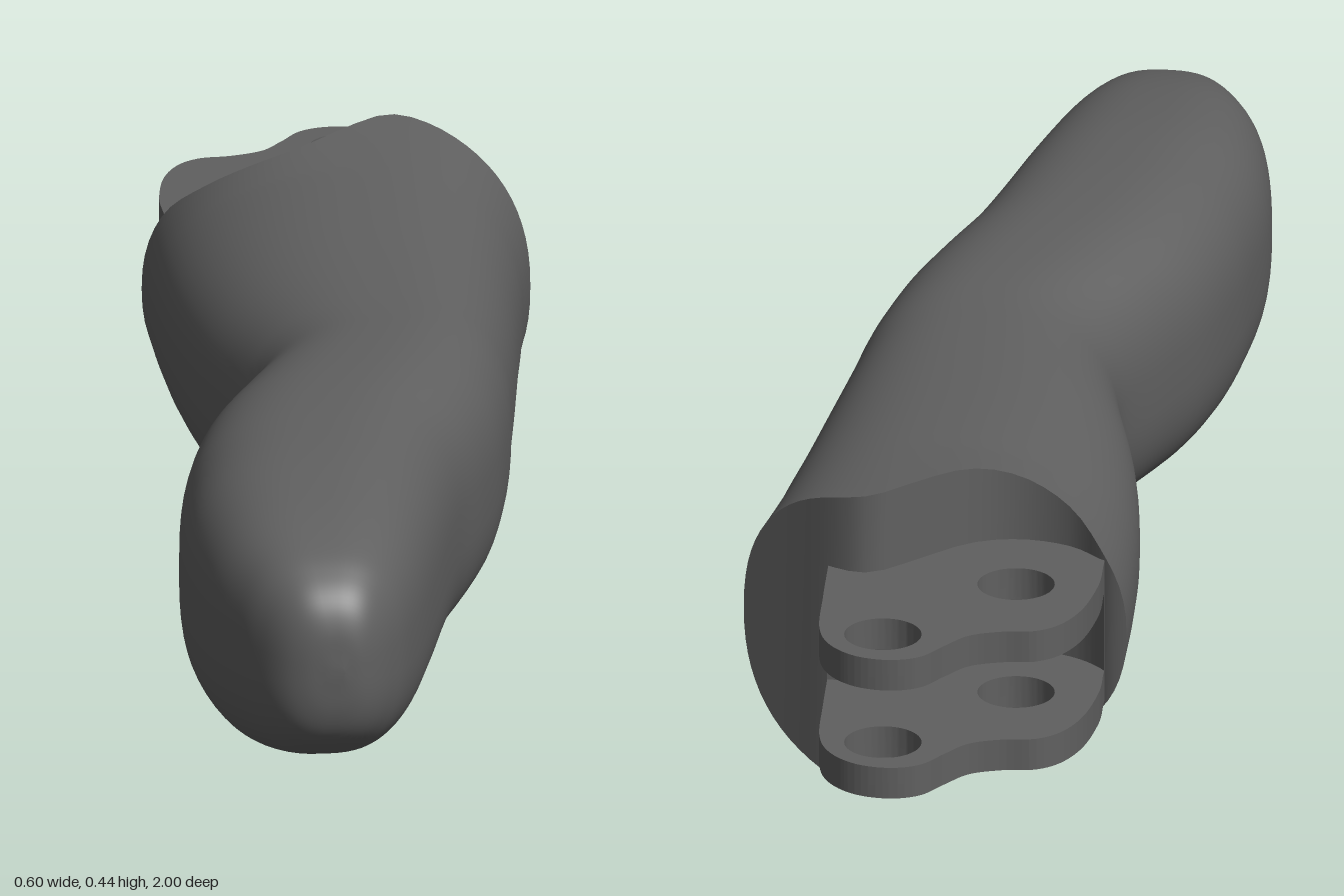
import * as THREE from 'three';
import { toCreasedNormals } from 'three/addons/utils/BufferGeometryUtils.js';

const MID_Y = 0.225, N = 72, CUT_START = -0.5, CUT_END = -0.71;
const PINS = [[-0.087, -0.73], [0.078, -0.915]];

// Body sections from tip to knuckle: z, left edge, right edge, half height
const sections = [
  [1.0, -0.13, -0.11, 0.01], [0.995, -0.165, -0.085, 0.06], [0.98, -0.195, -0.062, 0.097],
  [0.95, -0.222, -0.038, 0.125], [0.9, -0.25, -0.012, 0.15], [0.8, -0.284, 0.02, 0.174],
  [0.65, -0.3, 0.055, 0.191], [0.5, -0.29, 0.088, 0.197], [0.4, -0.275, 0.114, 0.198],
  [0.3, -0.25, 0.15, 0.197], [0.2, -0.21, 0.181, 0.195], [0.1, -0.168, 0.201, 0.193],
  [0.03, -0.156, 0.212, 0.192], [-0.05, -0.167, 0.221, 0.193], [-0.2, -0.2, 0.241, 0.197],
  [-0.35, -0.22, 0.26, 0.203], [CUT_START, -0.229, 0.28, 0.21], [CUT_END, -0.231, 0.3, 0.222],
];

// Wavy line of the knuckle cut, seen from above (x, z)
const cutLine = new THREE.SplineCurve([
  [-0.24, -0.65], [-0.2, -0.64], [-0.15, -0.597], [-0.08, -0.58], [-0.01, -0.6],
  [0.06, -0.665], [0.1, -0.702], [0.13, -0.712], [0.17, -0.697], [0.23, -0.655], [0.305, -0.604],
].map(p => new THREE.Vector2(...p))).getPoints(100);

function cutZ(x) {
  const i = Math.max(1, cutLine.findIndex(p => p.x >= x));
  const a = cutLine[i - 1], b = cutLine[i];
  return THREE.MathUtils.lerp(a.y, b.y, (x - a.x) / (b.x - a.x));
}

function makeRings() {
  const spline = pick => new THREE.CatmullRomCurve3(
    sections.map(s => new THREE.Vector3(...pick(s))), false, 'catmullrom', 0.5);
  const edges = spline(s => [s[1], s[2], s[0]]);
  const heights = spline(s => [s[3], 0, s[0]]);
  const steps = (sections.length - 1) * 5;
  const rings = [];
  for (let i = 0; i <= steps; i++) {
    const e = edges.getPoint(i / steps), h = heights.getPoint(i / steps).x;
    // sections grow rounder and lean to +x towards the knuckle
    const rear = 1 - THREE.MathUtils.smoothstep(e.z, CUT_END, 0.4);
    const power = v => Math.sign(v) * Math.abs(v) ** (2 / (2.7 - 0.4 * rear));
    const f = Math.max(0, (e.z - CUT_START) / (CUT_END - CUT_START));
    const ring = [];
    for (let j = 0; j < N; j++) {
      const a = (j / N) * Math.PI * 2;
      const u = power(Math.cos(a));
      const x = (e.x + e.y) / 2 + ((e.y - e.x) / 2) * u + 0.032 * rear * (1 - u * u);
      // last stretch bends to meet the knuckle cut
      const z = f > 0 ? CUT_START + f * (cutZ(x) - CUT_START) : e.z;
      ring.push([x, MID_Y + h * power(Math.sin(a)), z]);
    }
    rings.push(ring);
  }
  return rings;
}

function build(points, index) {
  const g = new THREE.BufferGeometry();
  g.setAttribute('position', new THREE.Float32BufferAttribute(points.flat(), 3));
  g.setIndex(index);
  g.computeVertexNormals();
  return g;
}

// Smooth skin joining the rings, with the tip closed
function skinGeometry(rings) {
  const index = [];
  for (let i = 0; i < rings.length - 1; i++) {
    for (let j = 0; j < N; j++) {
      const k = (j + 1) % N;
      const a = i * N + j, b = i * N + k;
      index.push(a, a + N, b, b, a + N, b + N);
    }
  }
  for (let j = 1; j < N - 1; j++) index.push(0, j, j + 1);
  return build(rings.flat(), index);
}

// Wavy end face: strips between the upper and lower half of the last ring
function endGeometry(ring) {
  const index = [];
  for (let j = 0; j < N / 2; j++) {
    const b = (N - j) % N, c = N - j - 1;
    index.push(j, b, j + 1, j + 1, b, c);
  }
  return build(ring, index);
}

// Extrudes a plan shape upwards; shape y is -z
function extrudeUp(shape, depth) {
  const g = new THREE.ExtrudeGeometry(shape, { depth, bevelEnabled: false, curveSegments: 36 });
  g.rotateX(-Math.PI / 2);
  return toCreasedNormals(g, 0.6);
}

// Hinge plate with two pin holes
function plateGeometry() {
  const v = (x, z) => new THREE.Vector2(x, -z);
  const shape = new THREE.Shape();
  shape.moveTo(0.175, 0.5);
  shape.lineTo(0.175, 0.7);
  shape.splineThru([
    v(0.172, -0.8), v(0.167, -0.9), v(0.148, -0.955), v(0.11, -0.99), v(0.062, -1),
    v(0.02, -0.985), v(-0.01, -0.945), v(-0.04, -0.908), v(-0.085, -0.89),
    v(-0.13, -0.883), v(-0.163, -0.855), v(-0.187, -0.8), v(-0.2, -0.72), v(-0.2, -0.66),
  ]);
  shape.lineTo(-0.2, 0.5);
  for (const [x, z] of PINS) {
    shape.holes.push(new THREE.Path().absarc(x, -z, 0.053, 0, Math.PI * 2, true));
  }
  return extrudeUp(shape, 0.046);
}

// Web between the plates, hollowed around the first pin
function webGeometry() {
  const shape = new THREE.Shape();
  shape.moveTo(0.175, 0.5);
  shape.lineTo(0.175, 0.714);
  shape.lineTo(0.052, 0.714);
  shape.absarc(PINS[0][0], -PINS[0][1], 0.14, -0.12, -2.51, true);
  shape.lineTo(-0.2, 0.5);
  return extrudeUp(shape, 0.14);
}

export function createModel() {
  const model = new THREE.Group();
  model.name = 'fingerSegment';
  const material = new THREE.MeshStandardMaterial({ color: 0x606060 });
  const add = (name, geometry, parent = model) => {
    const mesh = new THREE.Mesh(geometry, material);
    mesh.name = name;
    parent.add(mesh);
    return mesh;
  };

  // Finger body
  const body = new THREE.Group();
  body.name = 'fingerBody';
  model.add(body);
  const rings = makeRings();
  add('fingerSkin', skinGeometry(rings), body);
  add('knuckleFace', endGeometry(rings[rings.length - 1]), body);

  // Pair of hinge plates joined by the web
  const plate = plateGeometry();
  add('lowerHingePlate', plate).position.y = 0.122;
  add('upperHingePlate', plate).position.y = 0.284;
  add('hingeWeb', webGeometry()).position.y = 0.155;
  return model;
}
